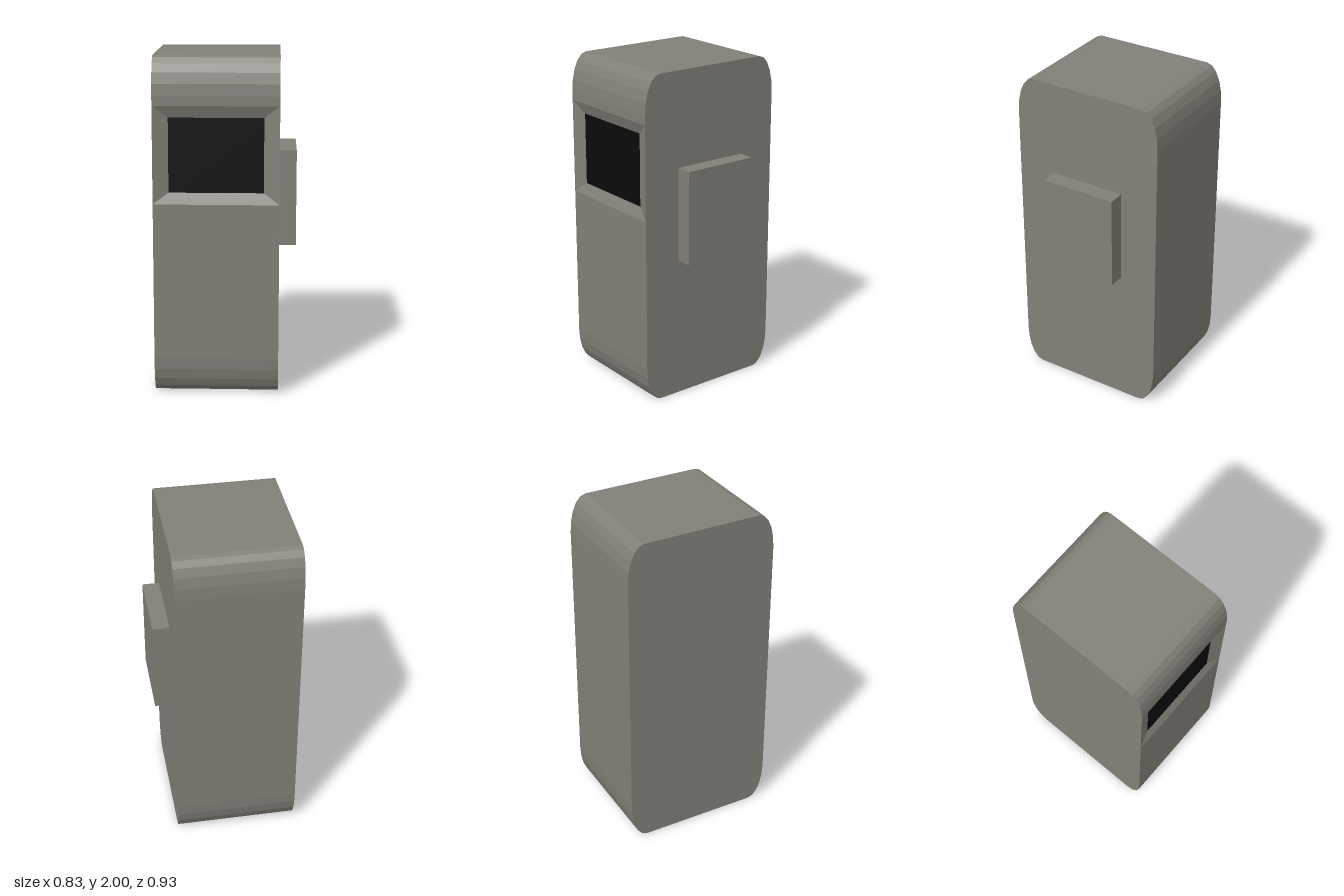
import * as THREE from 'three';

const X0 = -0.415, X1 = 0.315;          // sides of the body
const HALF_Z = 0.467, HEIGHT = 2;
const RZ = 0.102, RY = 0.225, STEPS = 5; // elliptical corner rounding
const OPEN_Y0 = 1.15, OPEN_Y1 = 1.72;    // recess opening in the front

// Flat faces from quads, each with four corners counter-clockwise from outside
function quadGeometry(quads) {
  const points = quads.flatMap(([a, b, c, d]) => [a, b, c, a, c, d]);
  const geometry = new THREE.BufferGeometry().setFromPoints(points.map((p) => new THREE.Vector3(...p)));
  geometry.computeVertexNormals();
  return geometry;
}

// Side outline as [z, y], from the front bottom corner up and over to the back
function sideOutline() {
  const outline = [];
  const corners = [[1, 0, -90], [1, 1, 0], [-1, 1, 90], [-1, 0, 180]];
  for (const [sz, top, start] of corners) {
    const cz = sz * (HALF_Z - RZ), cy = top ? HEIGHT - RY : RY;
    for (let i = 0; i <= STEPS; i++) {
      const a = THREE.MathUtils.degToRad(start + (90 * i) / STEPS);
      outline.push([cz + RZ * Math.cos(a), cy + RY * Math.sin(a)]);
    }
    // Split the straight front at the opening
    if (sz === 1 && !top) outline.push([HALF_Z, OPEN_Y0], [HALF_Z, OPEN_Y1]);
  }
  return outline;
}

export function createModel() {
  const group = new THREE.Group();
  const casing = new THREE.MeshStandardMaterial({ color: 0x837f78, flatShading: true });
  const dark = new THREE.MeshStandardMaterial({ color: 0x0b0b0b });
  const add = (name, geometry, material) => {
    const mesh = new THREE.Mesh(geometry, material);
    mesh.name = name;
    group.add(mesh);
    return mesh;
  };

  // Body shell swept across x, leaving the opening free
  const outline = sideOutline();
  const bands = [];
  outline.forEach(([za, ya], i) => {
    const [zb, yb] = outline[(i + 1) % outline.length];
    if (ya === OPEN_Y0 && yb === OPEN_Y1) return;
    bands.push([[X0, ya, za], [X1, ya, za], [X1, yb, zb], [X0, yb, zb]]);
  });
  add('bodyShell', quadGeometry(bands), casing);

  // Flat side panels
  const side = new THREE.Shape(outline.map(([z, y]) => new THREE.Vector2(z, y)));
  for (const [name, x, turn] of [['leftPanel', X1, 1], ['rightPanel', X0, -1]]) {
    const panel = add(name, new THREE.ShapeGeometry(side), casing);
    panel.rotation.y = (turn * Math.PI) / 2;
    panel.position.x = x;
  }

  // Bevelled frame sloping back to the screen
  const rectangle = (x0, x1, y0, y1, z) => [[x0, y0, z], [x1, y0, z], [x1, y1, z], [x0, y1, z]];
  const outer = rectangle(X0, X1, OPEN_Y0, OPEN_Y1, HALF_Z);
  const inner = rectangle(-0.325, 0.225, 1.215, 1.65, HALF_Z - 0.027);
  const bevels = outer.map((p, i) => {
    const j = (i + 1) % 4;
    return [p, outer[j], inner[j], inner[i]];
  });
  add('screenFrame', quadGeometry(bevels), casing);
  add('screen', quadGeometry([inner]), dark);

  // Raised block on the side
  const block = add('sideBlock', new THREE.BoxGeometry(0.1, 0.57, 0.466), casing);
  block.position.set(X1 + 0.05, 1.145, 0);

  return group;
}
